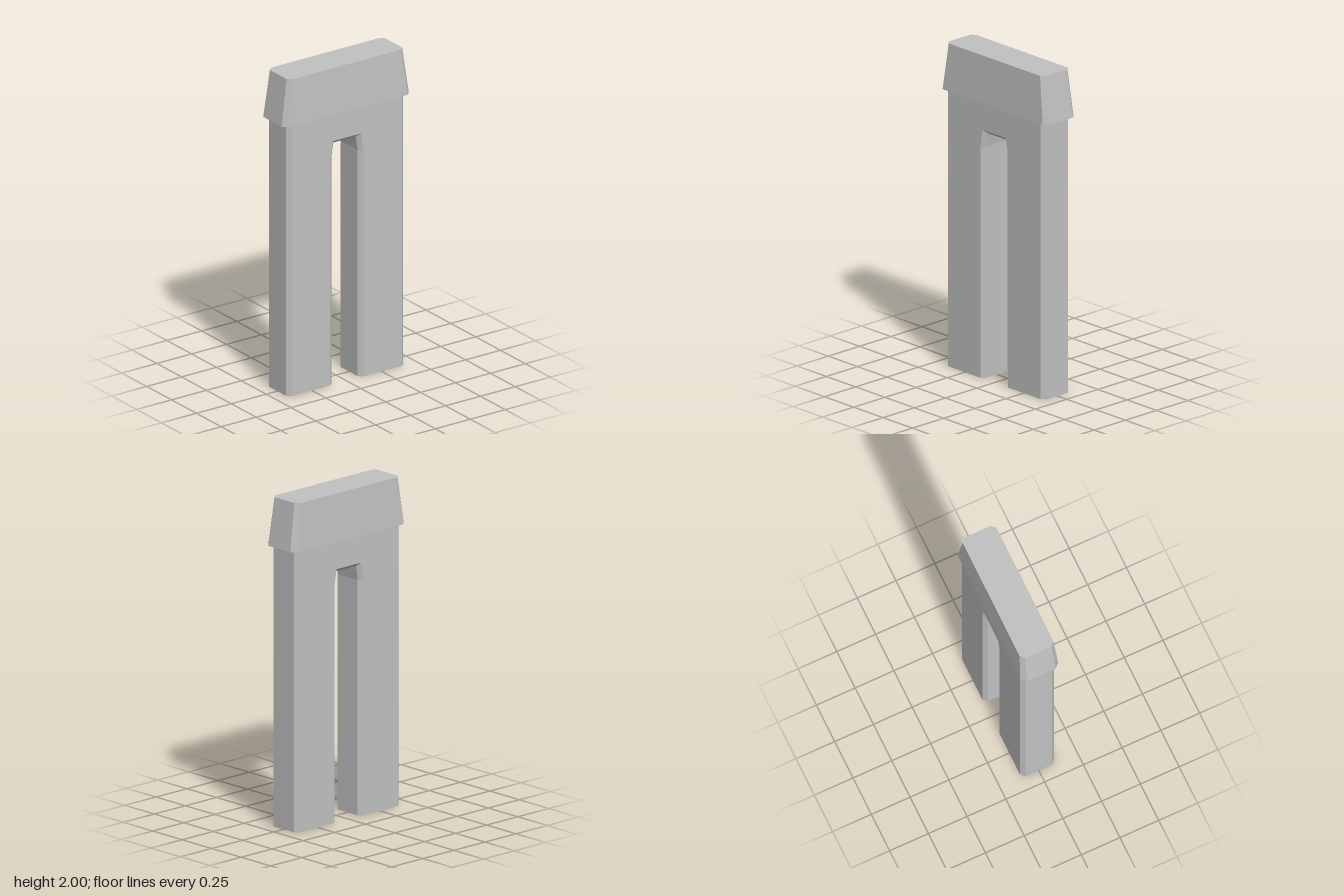
import * as THREE from 'three';

// Faceted solid through closed rings of [x, y, z] points, with flat ends.
function loft(rings) {
  const pos = [];
  const tri = (...pts) => pts.forEach((p) => pos.push(...p));
  for (let k = 0; k < rings.length - 1; k++) {
    const a = rings[k], b = rings[k + 1];
    a.forEach((p, i) => {
      const j = (i + 1) % a.length;
      tri(p, a[j], b[j]);
      tri(p, b[j], b[i]);
    });
  }
  const first = rings[0], last = rings[rings.length - 1];
  for (let i = 1; i < first.length - 1; i++) {
    tri(first[0], first[i + 1], first[i]);
    tri(last[0], last[i], last[i + 1]);
  }
  const geometry = new THREE.BufferGeometry();
  geometry.setAttribute('position', new THREE.Float32BufferAttribute(pos, 3));
  geometry.computeVertexNormals();
  return geometry;
}

// Chamfered rectangle at one height.
function capRing(y, x, z, cx, cz) {
  return [
    [x, y, z - cz], [x, y, cz - z], [x - cx, y, -z], [cx - x, y, -z],
    [-x, y, cz - z], [-x, y, z - cz], [cx - x, y, z], [x - cx, y, z],
  ];
}

// Chamfered section of the arch: outer side, then the side facing the opening.
function archRing(side, outerY, [faceX, faceY], [innerX, innerY]) {
  const zi = 0.085, zf = 0.11;
  return [
    [0.42, outerY, zi], [0.42, outerY, -zi], [0.395, outerY, -zf],
    [faceX, faceY, -zf], [innerX, innerY, -zi], [innerX, innerY, zi],
    [faceX, faceY, zf], [0.395, outerY, zf],
  ].map(([x, y, z]) => [side * x, y, z]);
}

export function createModel() {
  const group = new THREE.Group();
  const stone = new THREE.MeshStandardMaterial({ color: 0xc0c0c0 });
  stone.name = 'grey stone';

  const add = (name, geometry) => {
    const mesh = new THREE.Mesh(geometry, stone);
    mesh.name = name;
    group.add(mesh);
  };

  // Two legs joined over the opening, swept from one foot to the other
  const stations = [
    [0, [0.118, 0], [0.094, 0]],
    [1.43, [0.118, 1.43], [0.094, 1.43]],
    [1.71, [0.1, 1.54], [0.08, 1.518]],
  ];
  add('archedBody', loft([
    ...stations.map((s) => archRing(1, ...s)),
    ...stations.slice().reverse().map((s) => archRing(-1, ...s)),
  ]));

  // Tapered cap overhanging the body
  add('taperedCap', loft([
    capRing(1.71, 0.455, 0.123, 0.028, 0.03),
    capRing(2, 0.414, 0.109, 0.025, 0.025),
  ]));

  return group;
}
